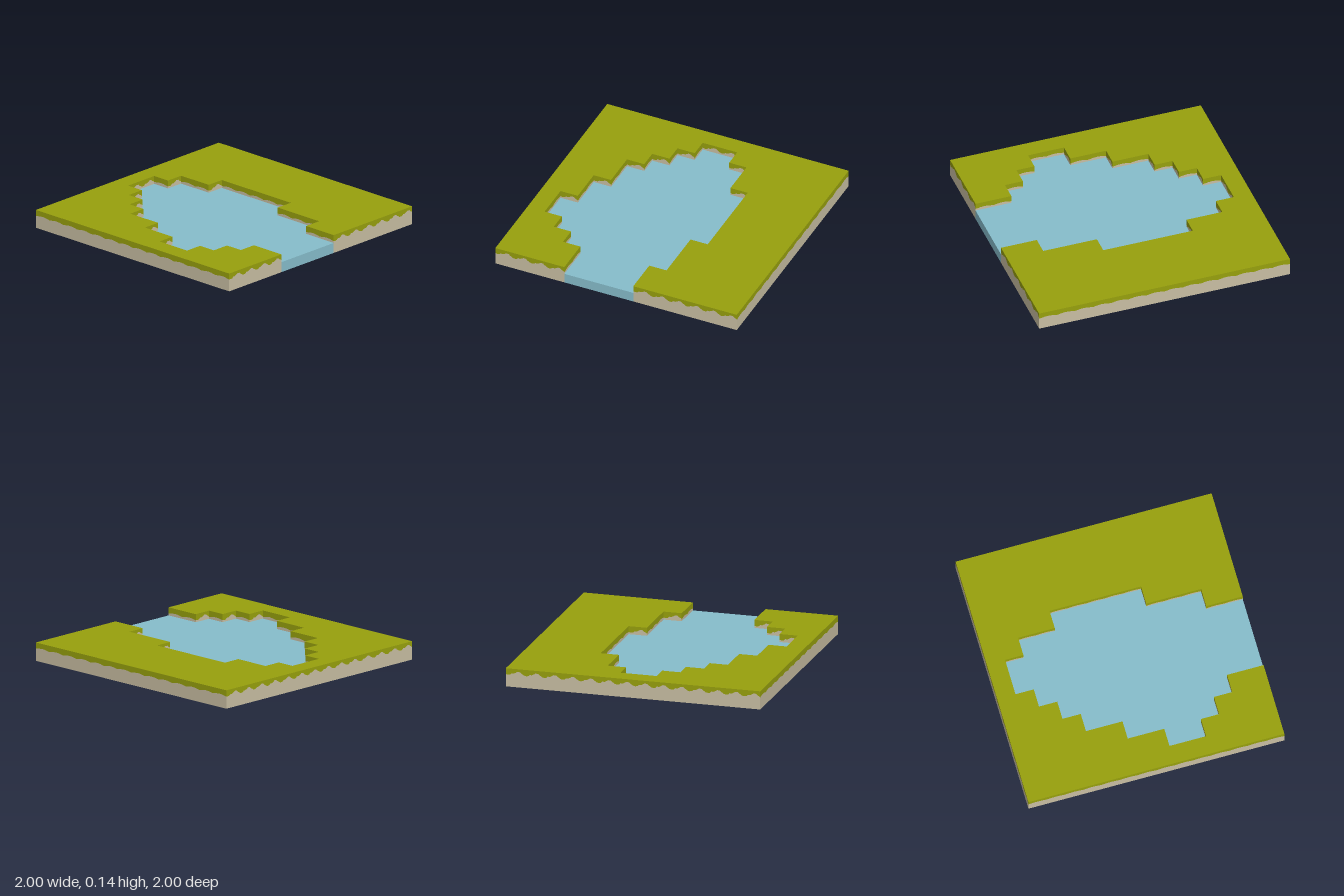
import * as THREE from 'three';

const CELL = 1 / 7;
const TOP = CELL;
const WATER = 0.08;

// Shoreline in grid cells [x, z], from the front left mouth round to the front right
const shore = [
  [-3, 7], [-3, 5], [-4, 5], [-4, 4], [-5, 4], [-5, 3], [-6, 3], [-6, 1], [-5, 1], [-5, -1],
  [-4, -1], [-4, -3], [-3, -3], [-3, -4], [-2, -4], [-2, -5], [-1, -5], [-1, -6], [1, -6], [1, -5],
  [2, -5], [2, -3], [3, -3], [3, 2], [2, 2], [2, 5], [1, 5], [1, 7],
];
const land = [...shore, [7, 7], [7, -7], [-7, -7], [-7, 7]];

// Height of the grass fringe across one cell: [fraction, y]
const raggedFringe = [
  [0, 0.097], [0.12, 0.093], [0.24, 0.096], [0.32, 0.107], [0.42, 0.105],
  [0.54, 0.113], [0.64, 0.122], [0.78, 0.12], [0.86, 0.109], [0.94, 0.104],
];
const softFringe = [[0, 0.094], [0.15, 0.098], [0.3, 0.102], [0.5, 0.104], [0.7, 0.102], [0.85, 0.098]];

const makeShape = (points) => new THREE.Shape(points.map(([x, y]) => new THREE.Vector2(x, y)));

export function createModel() {
  const model = new THREE.Group();
  model.name = 'pondTile';

  const material = (name, color) => {
    const m = new THREE.MeshStandardMaterial({ color });
    m.name = name;
    return m;
  };
  const grass = material('grass', 0x97a00d);
  const dirt = material('dirt', 0xc8bea2);
  const water = material('water', 0x86bdcb);

  const add = (parent, name, geometry, mat) => {
    const mesh = new THREE.Mesh(geometry, mat);
    mesh.name = name;
    parent.add(mesh);
    return mesh;
  };

  // Flat sheets facing up or down
  const sheet = (name, cells, y, up, mat) => {
    const sign = up ? -1 : 1;
    const geometry = new THREE.ShapeGeometry(makeShape(cells.map(([x, z]) => [x * CELL, sign * z * CELL])));
    geometry.rotateX(sign * Math.PI / 2);
    geometry.translate(0, y, 0);
    add(model, name, geometry, mat);
  };
  sheet('grassTop', land, TOP, true, grass);
  sheet('landUnderside', land, 0, false, dirt);
  sheet('waterSurface', shore, WATER, true, water);
  sheet('waterUnderside', shore, 0, false, water);

  // Water face in the front opening
  const mouth = new THREE.PlaneGeometry(4 * CELL, WATER);
  add(model, 'waterFront', mouth, water).position.set(-CELL, WATER / 2, 1);

  // Walls along every land edge: dirt below, grass above a ragged line
  land.forEach((a, i) => {
    const b = land[(i + 1) % land.length];
    const dx = b[0] - a[0];
    const dz = b[1] - a[1];
    const cells = Math.abs(dx) + Math.abs(dz);
    const length = cells * CELL;
    const isBank = i < shore.length - 1;
    const base = isBank ? WATER : 0;
    const fringe = dx !== 0 ? raggedFringe : softFringe;

    const line = [];
    for (let c = 0; c < cells; c++) {
      for (const [t, y] of fringe) line.push([(c + t) * CELL, y]);
    }
    line.push([length, fringe[0][1]]);

    const wall = new THREE.Group();
    wall.name = isBank ? 'bankWall' : 'outerWall';
    wall.position.set(a[0] * CELL, 0, a[1] * CELL);
    wall.rotation.y = Math.atan2(-dz, dx);
    const lower = makeShape([[0, base], [length, base], ...[...line].reverse()]);
    const upper = makeShape([...line, [length, TOP], [0, TOP]]);
    add(wall, 'dirtFace', new THREE.ShapeGeometry(lower), dirt);
    add(wall, 'grassFringe', new THREE.ShapeGeometry(upper), grass);
    model.add(wall);
  });

  return model;
}
